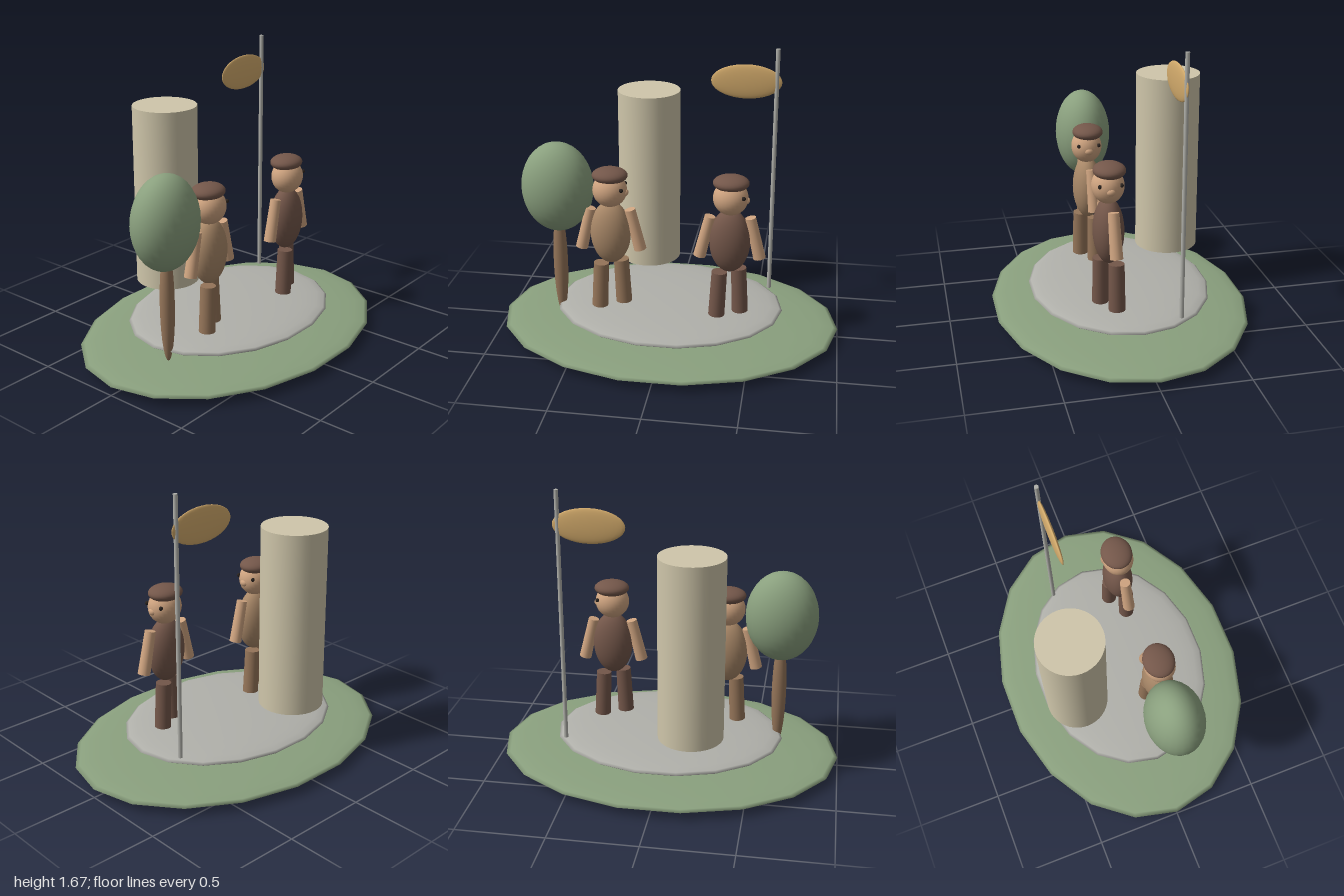
import * as THREE from 'three';

const material = (name, color, extra = {}) => {
  const m = new THREE.MeshStandardMaterial({ color });
  m.name = name;
  return Object.assign(m, extra);
};

const mats = {
  green: material('leaf green', 0x8aa07e),
  stone: material('stone grey', 0xb0b0aa),
  column: material('pale sandstone', 0xcfc6aa),
  gold: material('flag gold', 0xd2aa6b),
  skin: material('skin', 0xcfa480),
  tan: material('tan cloth', 0xa98868),
  brown: material('bark brown', 0x957559),
  dark: material('dark brown cloth', 0x74574a),
  eye: material('eye black', 0x2b2420),
};

function add(parent, name, geometry, mat) {
  const mesh = new THREE.Mesh(geometry, mat);
  mesh.name = name;
  parent.add(mesh);
  return mesh;
}

// Stretched ball: centre and three radii
function ellipsoid(parent, name, mat, centre, radii, sides = 28, rings = 18) {
  const mesh = add(parent, name, new THREE.SphereGeometry(1, sides, rings), mat);
  mesh.position.set(...centre);
  mesh.scale.set(...radii);
  return mesh;
}

// Cylinder running from one point to another
function rod(parent, name, mat, bottom, top, rBottom, rTop = rBottom, sides = 20) {
  const a = new THREE.Vector3(...bottom);
  const b = new THREE.Vector3(...top);
  const mesh = add(parent, name, new THREE.CylinderGeometry(rTop, rBottom, a.distanceTo(b), sides), mat);
  mesh.position.copy(a).add(b).multiplyScalar(0.5);
  mesh.quaternion.setFromUnitVectors(new THREE.Vector3(0, 1, 0), b.sub(a).normalize());
  return mesh;
}

// Standing figure with a cap, looking towards +x
function figure(name, x, z, shirt, trousers) {
  const g = new THREE.Group();
  g.name = name;
  g.position.set(x, 0, z);
  ellipsoid(g, 'body', shirt, [0, 0.645, 0], [0.117, 0.19, 0.086]);
  ellipsoid(g, 'head', mats.skin, [0, 0.906, 0.002], [0.099, 0.099, 0.09]);
  ellipsoid(g, 'cap', mats.dark, [0, 0.992, -0.006], [0.102, 0.045, 0.09]);
  ellipsoid(g, 'nose', mats.skin, [0.088, 0.896, 0.003], [0.02, 0.021, 0.026], 14, 10);
  for (const s of [-1, 1]) {
    ellipsoid(g, 'eye', mats.eye, [0.077, 0.928, 0.002 + s * 0.06], [0.012, 0.012, 0.01], 12, 8);
    // Arms hang outwards, legs are set one slightly ahead of the other
    rod(g, 'arm', mats.skin, [s * 0.17, 0.545, -s * 0.008], [s * 0.113, 0.79, -s * 0.004], 0.036, 0.031);
    rod(g, 'leg', trousers, [s * 0.065, 0.19, -s * 0.034], [s * 0.052, 0.463, -s * 0.034], 0.047, 0.044);
  }
  return g;
}

export function createModel() {
  const model = new THREE.Group();
  model.name = 'monumentScene';

  // Two lens-shaped bases
  ellipsoid(model, 'lawn', mats.green, [0, 0.05, 0], [1, 0.05, 0.745], 18, 14);
  ellipsoid(model, 'pavement', mats.stone, [0, 0.149, 0], [0.67, 0.049, 0.525], 18, 14);

  // Column
  rod(model, 'column', mats.column, [-0.173, 0.308, -0.338], [-0.173, 1.368, -0.338], 0.185, 0.185, 40);

  // Flag on its pole
  rod(model, 'flagPole', mats.stone, [0.577, 0.18, -0.229], [0.577, 1.666, -0.229], 0.0125, 0.0125, 12);
  ellipsoid(model, 'flag', mats.gold, [0.405, 1.471, -0.229], [0.202, 0.1, 0.017]);

  // Tree
  ellipsoid(model, 'treeTrunk', mats.brown, [-0.637, 0.42, 0.083], [0.042, 0.335, 0.04]);
  ellipsoid(model, 'treeCrown', mats.green, [-0.637, 0.894, 0.083], [0.209, 0.267, 0.166]);

  // Two figures
  model.add(figure('leftFigure', -0.325, 0.117, mats.tan, mats.brown));
  model.add(figure('rightFigure', 0.363, 0.134, mats.dark, mats.dark));

  return model;
}
